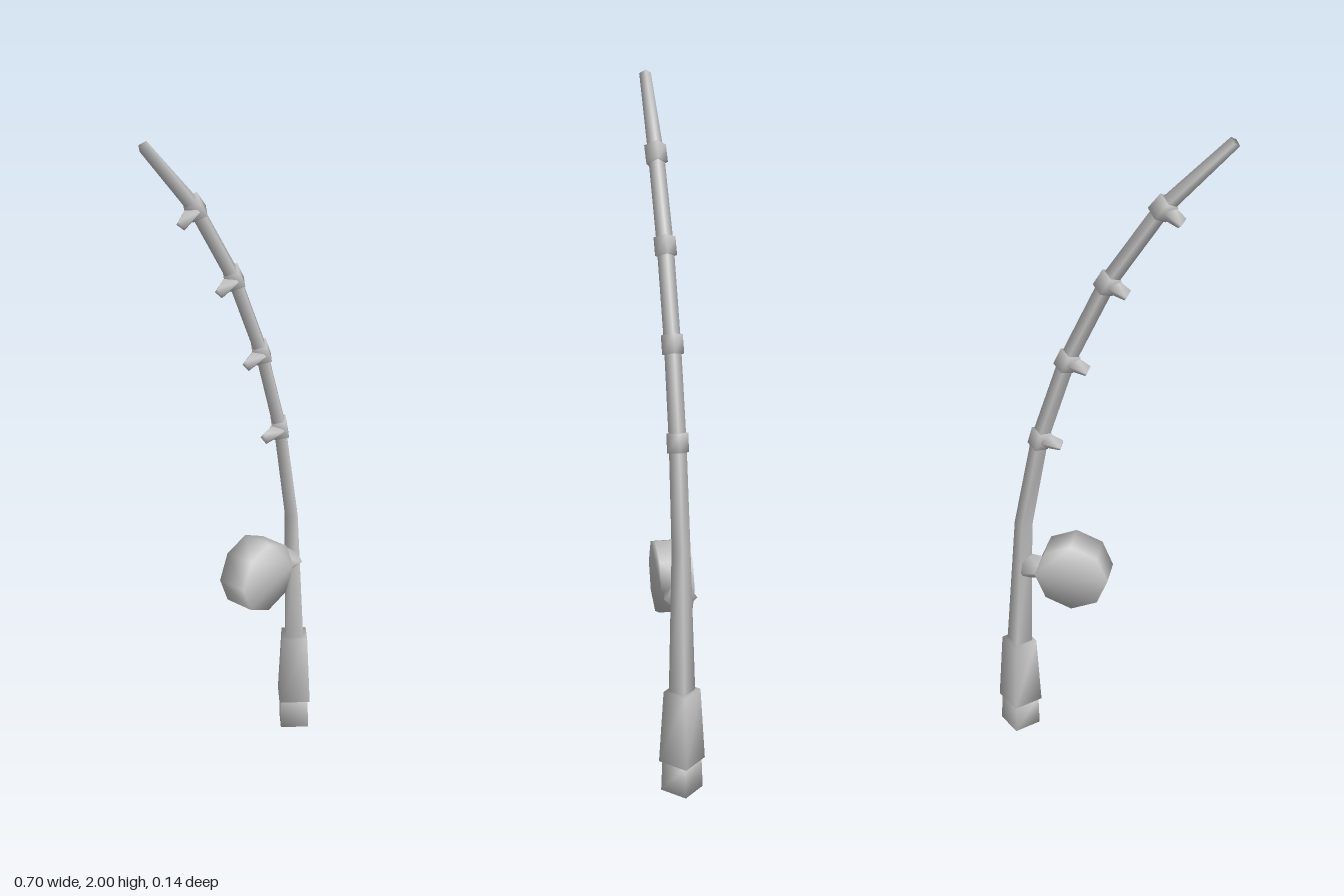
import * as THREE from 'three';

const material = new THREE.MeshStandardMaterial({ color: 0xcccccc });

// Smooth closed loft through stations [x, y, radius, depthRadius]; path lies in the XY plane.
function loft(name, stations, sides = 4) {
  const pos = [], index = [];
  const pts = stations.map(([x, y]) => new THREE.Vector2(x, y));
  stations.forEach(([x, y, r, rz = r], i) => {
    const t = pts[Math.min(i + 1, pts.length - 1)].clone().sub(pts[Math.max(i - 1, 0)]).normalize();
    for (let k = 0; k < sides; k++) {
      const a = (k / sides) * Math.PI * 2;
      const n = Math.cos(a) * r;
      pos.push(x + t.y * n, y - t.x * n, Math.sin(a) * rz);
    }
  });
  for (let i = 0; i < stations.length - 1; i++) {
    for (let k = 0; k < sides; k++) {
      const a = i * sides + k, b = i * sides + ((k + 1) % sides);
      index.push(a, a + sides, b, b, a + sides, b + sides);
    }
  }
  // End caps share the rim vertices, so shading rolls over the edge
  const last = (stations.length - 1) * sides;
  for (let k = 1; k < sides - 1; k++) {
    index.push(0, k, k + 1, last, last + k + 1, last + k);
  }
  const geo = new THREE.BufferGeometry();
  geo.setAttribute('position', new THREE.Float32BufferAttribute(pos, 3));
  geo.setIndex(index);
  geo.computeVertexNormals();
  const mesh = new THREE.Mesh(geo, material);
  mesh.name = name;
  return mesh;
}

export function createModel() {
  const group = new THREE.Group();
  group.name = 'fishingRod';

  // Butt cap and grip
  group.add(loft('buttCap', [[0.282, 0, 0.062], [0.28, 0.1, 0.058]]));
  group.add(loft('grip', [[0.28, 0.095, 0.068], [0.278, 0.32, 0.054]]));

  // Curved tapering pole
  group.add(loft('pole', [
    [0.278, 0.3, 0.039], [0.254, 0.75, 0.027], [0.198, 1.05, 0.025],
    [0.115, 1.31, 0.024], [0.0, 1.56, 0.024], [-0.15, 1.79, 0.023], [-0.335, 1.987, 0.017],
  ]));

  // Line guides: a band round the pole and a tapered peg on the inner side
  const guides = [[0.198, 1.05, -0.26, 0.97], [0.115, 1.31, -0.41, 0.91],
    [0.0, 1.56, -0.5, 0.86], [-0.15, 1.79, -0.61, 0.79]];
  for (const [x, y, tx, ty] of guides) {
    const guide = new THREE.Group();
    guide.name = 'lineGuide';
    const h = 0.027;
    guide.add(loft('guideBand', [[x - tx * h, y - ty * h, 0.031], [x + tx * h, y + ty * h, 0.031]]));
    guide.add(loft('guidePeg', [
      [x - ty * 0.01, y + tx * 0.01, 0.027],
      [x - ty * 0.066, y + tx * 0.066, 0.018],
    ]));
    group.add(guide);
  }

  // Reel: eight-sided drum with its axis along z
  const reel = loft('reelDrum', [[0, -0.048, 0.111], [0, 0.048, 0.111]], 8);
  reel.rotation.x = Math.PI / 2;
  reel.position.set(0.102, 0.603, 0);
  group.add(reel);

  // Reel foot joining the drum to the pole
  group.add(loft('reelFoot', [[0.18, 0.6, 0.036], [0.255, 0.6, 0.048]]));

  return group;
}
